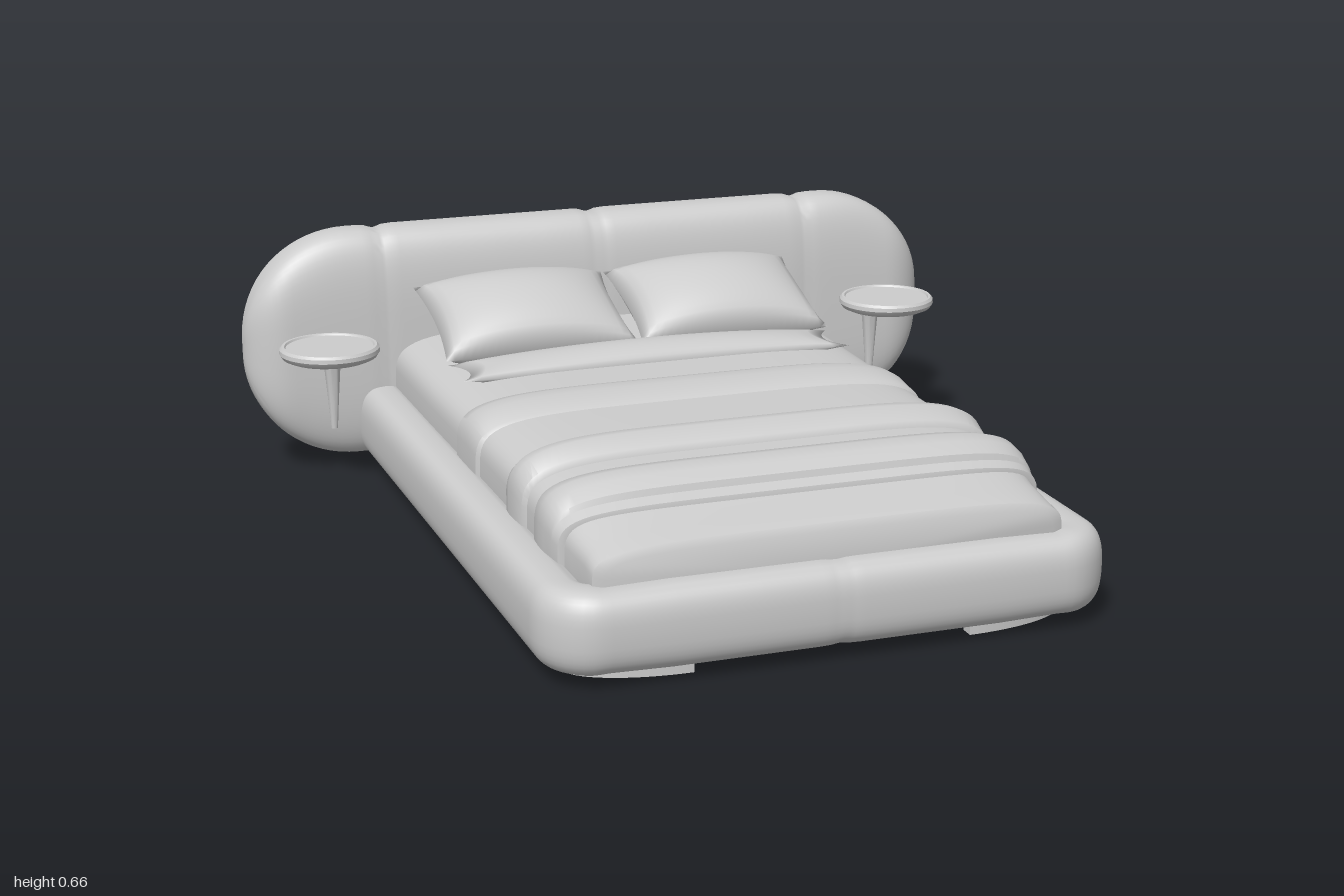
import * as THREE from 'three';
import { mergeVertices, toCreasedNormals } from 'three/addons/utils/BufferGeometryUtils.js';

const fabric = new THREE.MeshStandardMaterial({ color: 0xcccccc });
fabric.name = 'light grey';

function add(parent, name, geometry) {
  const mesh = new THREE.Mesh(geometry, fabric);
  mesh.name = name;
  parent.add(mesh);
  return mesh;
}

// Superellipse outline; place(a, b) turns its two coordinates into a 3D point
function ring(ha, hb, n, place, count = 56) {
  const bend = (t) => Math.sign(t) * Math.abs(t) ** (2 / n);
  return Array.from({ length: count }, (_, i) => {
    const t = (i / count) * Math.PI * 2;
    return place(ha * bend(Math.cos(t)), hb * bend(Math.sin(t)));
  });
}

// Skin over closed rings, with capped ends
function loft(rings, crease = 0.9) {
  const n = rings[0].length, pos = [], idx = [];
  rings.forEach((r) => r.forEach((p) => pos.push(...p)));
  for (let i = 0; i < rings.length - 1; i++)
    for (let j = 0; j < n; j++) {
      const a = i * n + j, b = i * n + (j + 1) % n;
      idx.push(a, b, a + n, b, b + n, a + n);
    }
  [0, rings.length - 1].forEach((r) => {
    const centre = pos.length / 3;
    for (let k = 0; k < 3; k++) pos.push(rings[r].reduce((s, p) => s + p[k], 0) / n);
    for (let j = 0; j < n; j++) {
      const a = r * n + j, b = r * n + (j + 1) % n;
      if (r) idx.push(a, b, centre); else idx.push(b, a, centre);
    }
  });
  // Turn the skin outward if its enclosed volume is negative
  const at = (i) => new THREE.Vector3().fromArray(pos, i * 3);
  let volume = 0;
  for (let i = 0; i < idx.length; i += 3)
    volume += at(idx[i]).dot(at(idx[i + 1]).cross(at(idx[i + 2])));
  if (volume < 0) idx.reverse();
  const g = new THREE.BufferGeometry();
  g.setAttribute('position', new THREE.Float32BufferAttribute(pos, 3));
  g.setIndex(idx);
  return toCreasedNormals(g, crease);
}

// Narrow stitched groove near each seam position
const groove = (x, seams, depth) =>
  1 - seams.reduce((s, c) => s + depth * Math.exp(-(((x - c) / 0.02) ** 2)), 0);

function headboardGeometry() {
  const half = [0, 0.01, 0.025, 0.05, 0.15, 0.3, 0.45, 0.57, 0.595, 0.61, 0.62, 0.63, 0.645, 0.67];
  for (let i = 0; i <= 18; i++) half.push(0.7 + 0.2995 * Math.sin((i / 18) * Math.PI / 2));
  const xs = [...half.slice(1).reverse().map((x) => -x), ...half];
  return loft(xs.map((x) => {
    const round = (start, r) => Math.sqrt(1 - (Math.max(0, Math.abs(x) - start) / r) ** 2);
    const g = groove(x, [0, 0.62, -0.62], 0.03);
    const hy = (0.015 + 0.3 * round(0.7, 0.3)) * g;
    const hz = (0.095 + 0.01 * (1 - x * x)) * round(0.88, 0.12) * g;
    return ring(hz, hy, 3.4, (a, b) => [x, 0.345 + b, -0.895 + a - b * 0.03]);
  }), 1.2);
}

// Padded rail running down both sides and round the foot of the bed
function railGeometry() {
  const path = [];
  const side = [-0.84, -0.5, 0, 0.5, 0.84];
  side.forEach((z) => path.push([0.63, z, 1, 0]));
  const corner = (from, sx) => {
    for (let i = 0; i <= 10; i++) {
      const t = from + (i / 10) * Math.PI / 2;
      path.push([sx * 0.55 + 0.08 * Math.cos(t), 0.85 + 0.08 * Math.sin(t), Math.cos(t), Math.sin(t)]);
    }
  };
  corner(0, 1);
  [0.4, 0.2, 0.05, 0.025, 0.01, 0, -0.01, -0.025, -0.05, -0.2, -0.4]
    .forEach((x) => path.push([x, 0.93, 0, 1]));
  corner(Math.PI / 2, -1);
  side.reverse().forEach((z) => path.push([-0.63, z, -1, 0]));
  return loft(path.map(([x, z, nx, nz]) => {
    const g = groove(x, [0, 0.55, -0.55], 0.035);
    return ring(0.07 * g, 0.1 * g, 2.8, (a, b) => [x + nx * a, 0.13 + b, z + nz * a], 40);
  }), 1.2);
}

// Soft slab along z from stations of [z, half width, top height]
function slab(stations, bow = 0, n = 5) {
  return loft(stations.map(([z, w, top]) =>
    ring(w, top - 0.21, n, (x, y) => [x, 0.21 + y, z - bow * Math.abs(x / w) ** 5], 64)), 0.7);
}

// Pillow pinched to points at its corners
function pillowGeometry(w, d, h, pinchX, pinchZ) {
  const g = new THREE.BoxGeometry(2, 2, 2, 24, 1, 20);
  const p = g.attributes.position;
  for (let i = 0; i < p.count; i++) {
    const u = p.getX(i), v = p.getZ(i);
    const fill = Math.max(0, (1 - u * u) * (1 - v * v));
    p.setXYZ(i,
      u * (w / 2) * (1 - pinchX * (1 - v * v)),
      Math.sign(p.getY(i)) * h * fill ** 0.5,
      v * (d / 2) * (1 - pinchZ * (1 - u * u)));
  }
  g.deleteAttribute('uv');
  g.deleteAttribute('normal');
  const merged = mergeVertices(g, 1e-4);
  merged.computeVertexNormals();
  return merged;
}

// Curved strip foot, a quarter of an elliptical band
function footGeometry(rx, rz) {
  const s = new THREE.Shape();
  s.absellipse(0, 0, rx, rz, 0, Math.PI / 2, false);
  s.absellipse(0, 0, rx - 0.035, rz - 0.035, Math.PI / 2, 0, true);
  const g = new THREE.ExtrudeGeometry(s, { depth: 0.05, bevelEnabled: false, curveSegments: 16 });
  return g.rotateX(-Math.PI / 2);
}

function sideTable(side) {
  const table = new THREE.Group();
  table.name = side > 0 ? 'leftSideTable' : 'rightSideTable';
  const lathe = (pts) => toCreasedNormals(
    new THREE.LatheGeometry(pts.map(([x, y]) => new THREE.Vector2(x, y)), 40), 0.6);
  add(table, 'tableTop', lathe([[0, 0.363], [0.11, 0.363], [0.126, 0.37], [0.134, 0.382], [0.133, 0.393],
    [0.127, 0.4], [0.12, 0.4], [0.117, 0.395], [0, 0.395]])).position.set(side * 0.81, 0, -0.655);
  add(table, 'tableLeg', lathe([[0, 0.145], [0.009, 0.147], [0.014, 0.22], [0.022, 0.32], [0.03, 0.355], [0.034, 0.37]]))
    .position.set(side * 0.79, 0, -0.725);
  return table;
}

export function createModel() {
  const bed = new THREE.Group();
  bed.name = 'bed';

  add(bed, 'headboard', headboardGeometry());
  add(bed, 'rail', railGeometry());
  add(bed, 'basePanel', new THREE.BoxGeometry(1.26, 0.06, 1.78)).position.set(0, 0.066, 0.04);

  // Mattress and layered bedding
  add(bed, 'mattress', slab([[0.925, 0.55, 0.295], [0.915, 0.575, 0.312], [0.86, 0.575, 0.325], [0.78, 0.58, 0.338],
    [0.7, 0.59, 0.36], [0.5, 0.595, 0.372], [0.1, 0.595, 0.372], [-0.4, 0.6, 0.374], [-0.82, 0.6, 0.375]]));
  add(bed, 'foldedBlanket', slab([[0.772, 0.59, 0.335], [0.768, 0.6, 0.352], [0.735, 0.605, 0.362],
    [0.73, 0.605, 0.378], [0.69, 0.61, 0.398], [0.65, 0.61, 0.406], [0.6, 0.605, 0.395], [0.575, 0.595, 0.37]], 0.03));
  add(bed, 'footThrow', slab([[0.475, 0.595, 0.37], [0.465, 0.605, 0.388], [0.41, 0.61, 0.413],
    [0.37, 0.61, 0.408], [0.335, 0.605, 0.385], [0.325, 0.595, 0.37]]));
  add(bed, 'middleThrow', slab([[0.065, 0.595, 0.37], [0.055, 0.604, 0.378], [-0.03, 0.605, 0.393],
    [-0.08, 0.605, 0.39], [-0.125, 0.604, 0.379], [-0.135, 0.595, 0.37]]));

  // Pillows
  add(bed, 'bolster', pillowGeometry(1.08, 0.17, 0.045, 0.07, 0)).position.set(0, 0.37, -0.37);
  for (const side of [1, -1]) {
    const pillow = add(bed, side > 0 ? 'leftPillow' : 'rightPillow', pillowGeometry(0.54, 0.37, 0.105, 0.06, 0.04));
    pillow.position.set(side * 0.273, 0.443, -0.62);
    pillow.rotation.x = 0.33;
  }

  // Feet and side tables
  for (const side of [1, -1]) {
    for (const [name, rx, rz, z, end] of [['frontFoot', 0.28, 0.12, 0.81, 1], ['backFoot', 0.28, 0.23, -0.52, -1]]) {
      const foot = add(bed, name, footGeometry(rx, rz));
      foot.position.set(side * 0.34, 0, z);
      // Quarter turns keep the band's winding while facing each corner
      if (side === end) foot.geometry.scale(1, 1, 1);
      const p = foot.geometry.attributes.position;
      for (let i = 0; i < p.count; i++) p.setXYZ(i, p.getX(i) * side, p.getY(i), -p.getZ(i) * end);
      // Mirrored once: swap two corners of every triangle
      if (side * -end < 0) for (let i = 0; i < p.count; i += 3) {
        const a = [p.getX(i), p.getY(i), p.getZ(i)];
        p.setXYZ(i, p.getX(i + 1), p.getY(i + 1), p.getZ(i + 1));
        p.setXYZ(i + 1, ...a);
      }
      foot.geometry = toCreasedNormals(foot.geometry, 0.6);
    }
    bed.add(sideTable(side));
  }
  return bed;
}
